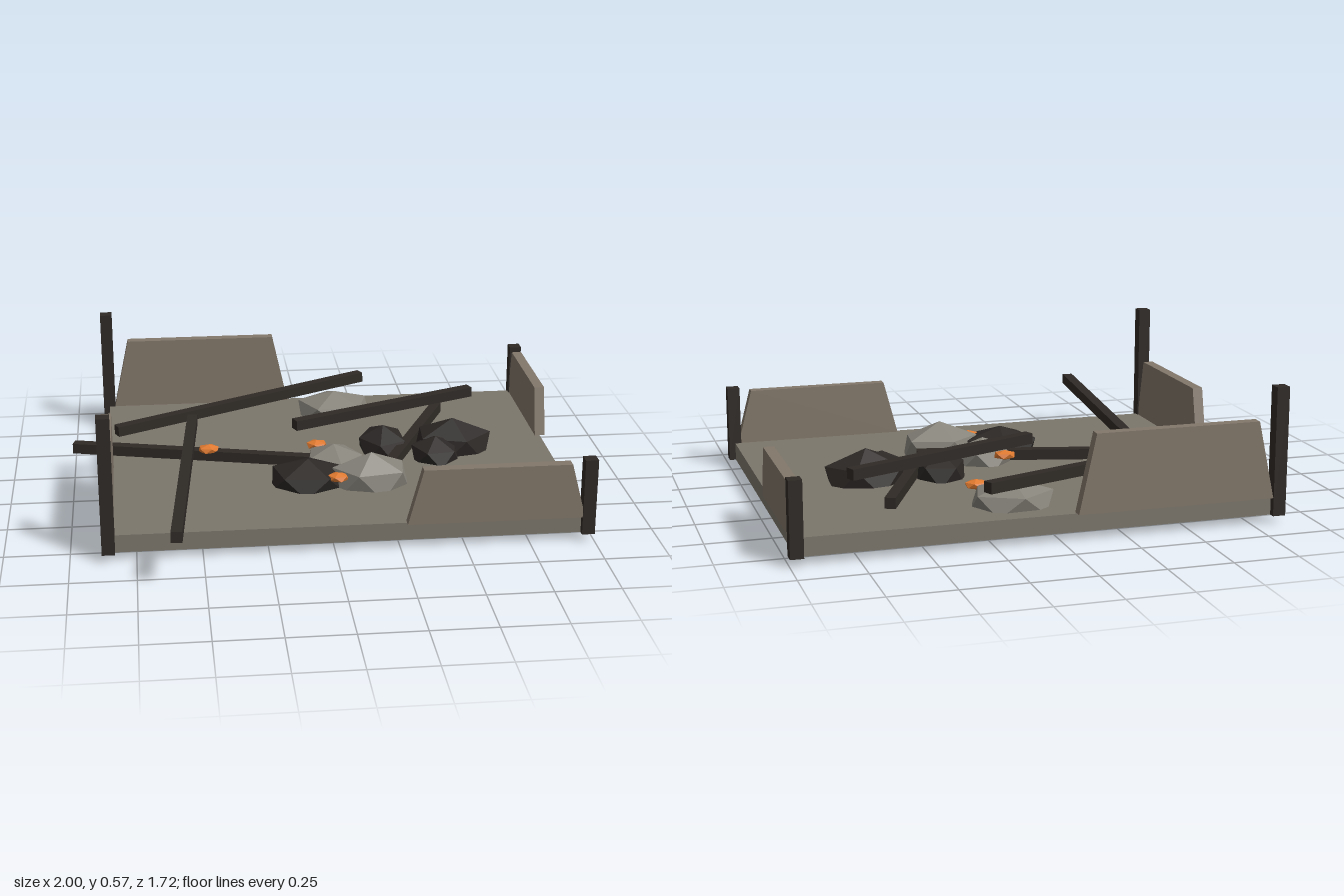
import * as THREE from 'three';

const mat = (color) => new THREE.MeshStandardMaterial({ color, flatShading: true });

export function createModel() {
  const group = new THREE.Group();
  const stone = mat(0x7c766b), plaster = mat(0x82776a), charred = mat(0x2f2a26);
  const ash = mat(0x86837a), coal = mat(0x2c2826), glow = mat(0xe07a30);

  const add = (name, geometry, material, x = 0, y = 0, z = 0) => {
    const mesh = new THREE.Mesh(geometry, material);
    mesh.name = name;
    mesh.position.set(x, y, z);
    group.add(mesh);
    return mesh;
  };

  // Floor slab
  add('floor', new THREE.BoxGeometry(1.83, 0.07, 1.405), stone, 0.06, 0.065, -0.1375);

  // Broken corner posts: x, z, top height
  for (const [x, z, top] of [
    [-0.855, 0.565, 0.575], [0.975, 0.565, 0.335],
    [-0.855, -0.84, 0.525], [0.975, -0.84, 0.315],
  ]) {
    add('cornerPost', new THREE.BoxGeometry(0.05, top - 0.03, 0.05), charred, x, (top + 0.03) / 2, z);
  }

  // Wall remnants: trapezoids narrowing towards the top
  const wall = (name, a, b, top, x, z, turned) => {
    const inset = (b - a) * 0.085;
    const shape = new THREE.Shape([
      new THREE.Vector2(a, 0.1), new THREE.Vector2(b, 0.1),
      new THREE.Vector2(b - inset, top), new THREE.Vector2(a + inset, top),
    ]);
    const geometry = new THREE.ExtrudeGeometry(shape, { depth: 0.042, bevelEnabled: false });
    geometry.translate(0, 0, -0.021);
    if (turned) geometry.rotateY(-Math.PI / 2); // shape x runs along +z
    add(name, geometry, plaster, x, 0, z);
  };
  wall('backWall', -0.83, -0.06, 0.4, 0, -0.841, false);
  wall('frontWall', 0.275, 0.96, 0.32, 0, 0.565, false);
  wall('rightWall', -0.12, 0.55, 0.35, -0.856, 0, true);
  wall('leftWall', -0.84, -0.275, 0.3, 0.975, 0, true);

  // Fallen beams between two end points
  for (const [a, b] of [
    [[-0.82, 0.18, -0.31], [0.265, 0.212, -0.795]],
    [[-0.998, 0.125, -0.285], [0.315, 0.125, 0.05]],
    [[-0.5, 0.178, -0.415], [-0.604, 0.215, 0.857]],
    [[-0.085, 0.225, -0.187], [0.71, 0.225, -0.52]],
    [[0.58, 0.125, -0.6], [0.28, 0.125, 0.05]],
  ]) {
    const start = new THREE.Vector3(...a), end = new THREE.Vector3(...b);
    const mid = start.clone().lerp(end, 0.5);
    const beam = add('fallenBeam', new THREE.BoxGeometry(0.042, 0.042, start.distanceTo(end)), charred, mid.x, mid.y, mid.z);
    beam.lookAt(end);
  }

  // Faceted lump with a corner pointing up; rx and rz are its outline half-widths
  const lump = (name, material, x, y, z, rx, ry, rz, spin) => {
    const geometry = new THREE.IcosahedronGeometry(1, 0);
    geometry.rotateZ(-Math.atan(2 / (1 + Math.sqrt(5))));
    geometry.rotateY(spin);
    geometry.scale(rx / 0.89, ry, rz / 0.89);
    add(name, geometry, material, x, y, z);
  };

  // Rubble: x, z, half-sizes
  [
    [0.13, -0.65, 0.157, 0.083, 0.128],
    [0.06, -0.025, 0.117, 0.083, 0.112],
    [0.19, 0.16, 0.155, 0.115, 0.11],
  ].forEach(([x, z, rx, ry, rz], i) => lump('ashRubble', ash, x, 0.115, z, rx, ry, rz, 0.4 + i * 0.7));
  [
    [-0.06, 0.13, 0.15, 0.085, 0.13],
    [0.285, -0.195, 0.1, 0.09, 0.12],
    [0.577, -0.183, 0.16, 0.115, 0.122],
    [0.49, -0.085, 0.098, 0.075, 0.105],
  ].forEach(([x, z, rx, ry, rz], i) => lump('charredRubble', coal, x, 0.115, z, rx, ry, rz, 0.2 + i * 0.5));

  // Glowing embers
  [[-0.445, -0.14], [0.003, -0.145], [0.232, -0.527], [0.052, 0.213]].forEach(([x, z], i) =>
    lump('ember', glow, x, 0.15, z, 0.042, 0.02, 0.034, i * 0.6));

  return group;
}
